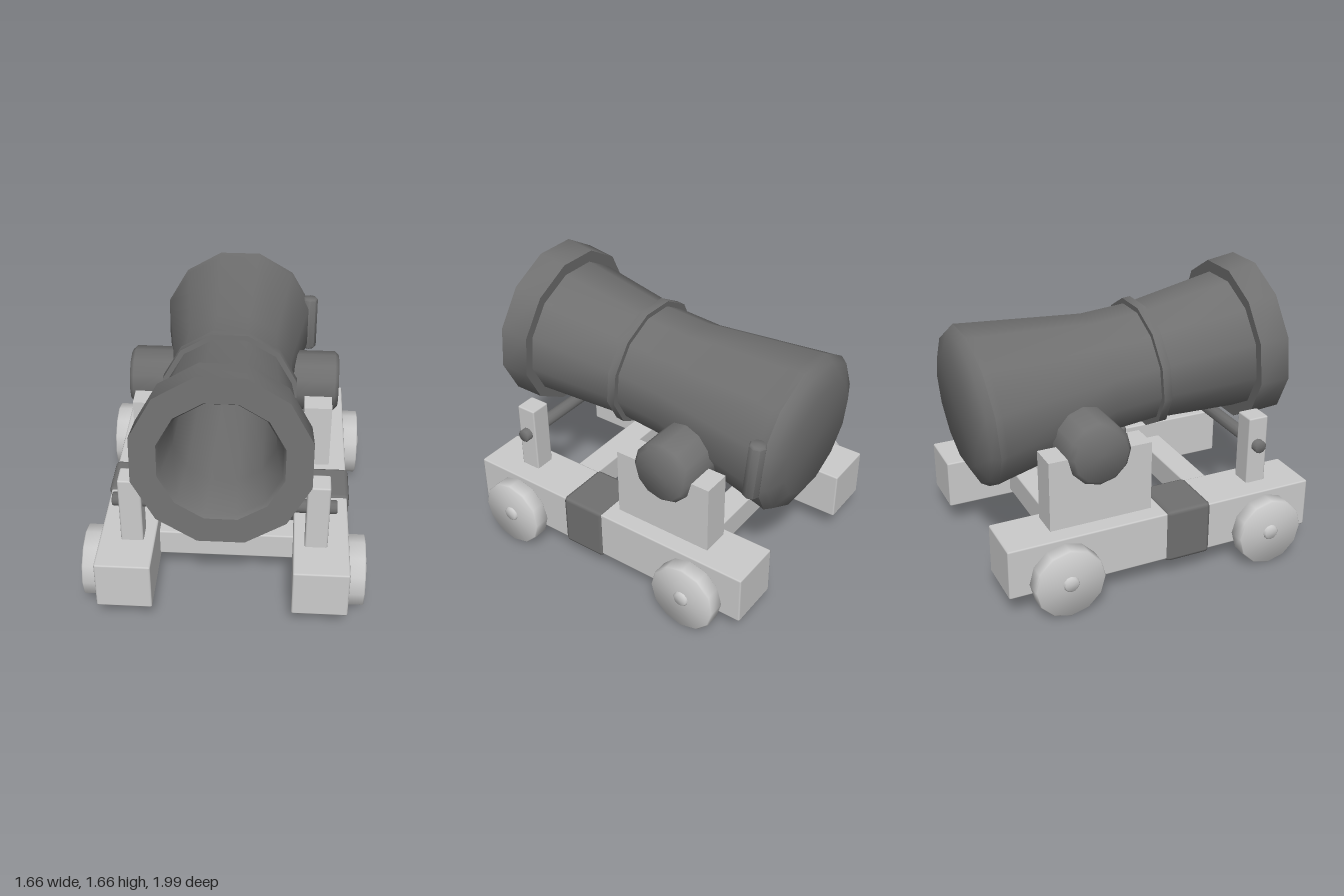
import * as THREE from 'three';
import { toCreasedNormals } from 'three/addons/utils/BufferGeometryUtils.js';
import { RoundedBoxGeometry } from 'three/addons/geometries/RoundedBoxGeometry.js';

const wood = new THREE.MeshStandardMaterial({ color: 0xcccccc });
const iron = new THREE.MeshStandardMaterial({ color: 0x707070 });
const SIDES = 12;

function add(parent, name, geometry, material, x = 0, y = 0, z = 0) {
  const mesh = new THREE.Mesh(geometry, material);
  mesh.name = name;
  mesh.position.set(x, y, z);
  parent.add(mesh);
  return mesh;
}

// Twelve-sided turned part; the radii are measured to the flats
function turned(profile, crease = 0.7) {
  const k = 1 / Math.cos(Math.PI / SIDES);
  const points = profile.map(([r, t]) => new THREE.Vector2(r * k, t));
  return toCreasedNormals(new THREE.LatheGeometry(points, SIDES, Math.PI / SIDES), crease);
}

function box(w, h, d, r = 0.01) {
  return new RoundedBoxGeometry(w, h, d, 1, r);
}

// Cylinder lying along x, with small bevels on its rims
function rod(radius, length, bevel, sides = SIDES) {
  const h = length / 2;
  const points = [[0, -h], [radius - bevel, -h], [radius, -h + bevel],
    [radius, h - bevel], [radius - bevel, h], [0, h]].map(([r, t]) => new THREE.Vector2(r, t));
  return toCreasedNormals(new THREE.LatheGeometry(points, sides), 0.9).rotateZ(Math.PI / 2);
}

// Bracket side outline (z, y) with a round seat for the trunnion
function bracketGeometry(width) {
  const top = 0.87, base = 0.44, seatZ = -0.34, r = 0.185;
  const shape = new THREE.Shape();
  shape.moveTo(-0.645, base);
  shape.lineTo(-0.02, base);
  shape.lineTo(-0.02, top);
  shape.lineTo(seatZ + r, top);
  shape.absarc(seatZ, top, r, 0, -Math.PI, true);
  shape.lineTo(-0.645, top);
  shape.closePath();
  const g = new THREE.ExtrudeGeometry(shape, { depth: width, bevelEnabled: false, curveSegments: 6 });
  g.rotateY(-Math.PI / 2).translate(width / 2, 0, 0);
  return g;
}

export function createModel() {
  const model = new THREE.Group();
  model.name = 'cannon';

  // Barrel, built along its own y axis and tilted slightly upward
  const gun = new THREE.Group();
  gun.name = 'gun';
  gun.position.y = 1.078;
  gun.rotation.x = Math.PI / 2 - 0.09;
  model.add(gun);
  add(gun, 'barrel', turned([[0, -0.968], [0.335, -0.968], [0.44, -0.92], [0.47, -0.875],
    [0.462, -0.83], [0.357, -0.117], [0.354, 0.19], [0.417, 0.78]], 0.75), iron);
  add(gun, 'barrelBand', turned([[0.34, 0.166], [0.386, 0.166], [0.386, 0.218], [0.34, 0.218]]), iron);
  const muzzle = add(gun, 'muzzleAndBore', turned([[0.40, 0.772], [0.487, 0.772], [0.498, 0.955],
    [0.35, 0.955], [0.335, 0.93], [0.295, 0.66], [0.29, -0.62], [0, -0.62]]), iron);
  muzzle.scale.x = 0.965;

  // Small vent cylinder on the left of the breech
  const vent = add(model, 'ventCylinder', rod(0.05, 0.355, 0.01, 8).rotateZ(Math.PI / 2), iron, 0.467, 1.012, -0.838);
  vent.rotation.x = -0.09;

  // Trunnions and elevating rod
  add(model, 'trunnions', rod(0.187, 1.305, 0.025), iron, 0, 0.87, -0.345);
  add(model, 'supportRod', rod(0.04, 1.27, 0.006), iron, 0, 0.692, 0.695);

  // Cross bars between the beams
  for (const z of [0.48, -0.45]) {
    add(model, 'crossBar', box(0.86, 0.17, 0.16), wood, 0, 0.255, z);
  }

  // Beams with their fittings and wheels, mirrored
  for (const [s, side] of [[1, 'left'], [-1, 'right']]) {
    add(model, side + 'Beam', box(0.32, 0.305, 1.925), wood, s * 0.557, 0.293, 0.028);
    add(model, side + 'BeamBand', box(0.34, 0.335, 0.285, 0.025), iron, s * 0.56, 0.292, 0.172);
    add(model, side + 'Bracket', bracketGeometry(0.17), wood, s * 0.527, 0, 0);
    add(model, side + 'Post', box(0.13, 0.435, 0.128), wood, s * 0.527, 0.652, 0.698);
    for (const z of [0.68, -0.607]) {
      add(model, side + 'Wheel', rod(0.21, 0.1, 0.006), wood, s * 0.765, 0.212, z);
      add(model, side + 'Axle', rod(0.047, 0.14, 0.008), wood, s * 0.76, 0.215, z);
    }
  }
  return model;
}
